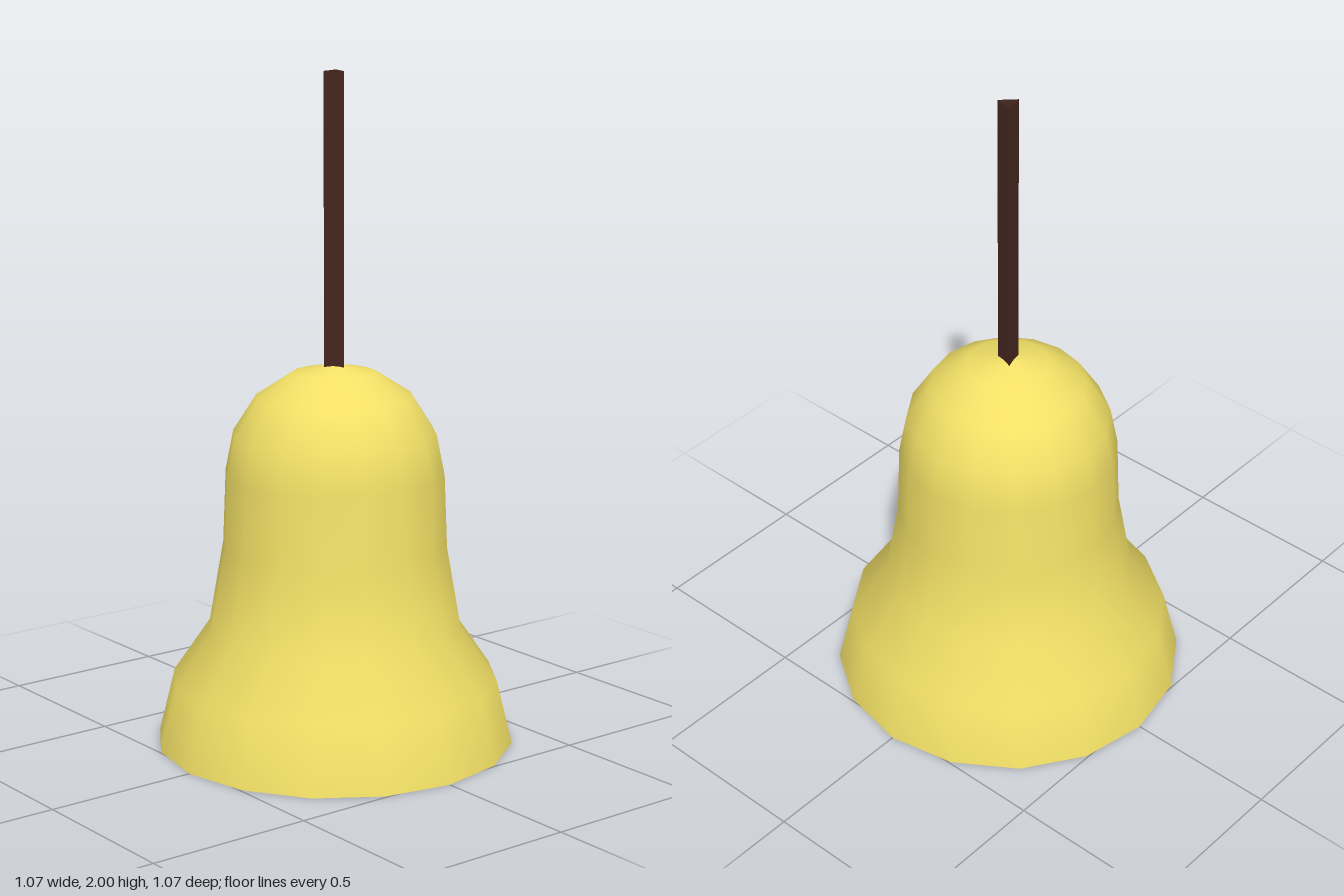
import * as THREE from 'three';

const SIDES = 16;

// Revolve a list of [radius, height] pairs around the y axis
function revolve(name, profile, material) {
  const points = profile.map(([r, y]) => new THREE.Vector2(r, y));
  const mesh = new THREE.Mesh(new THREE.LatheGeometry(points, SIDES), material);
  mesh.name = name;
  return mesh;
}

export function createModel() {
  const model = new THREE.Group();
  model.name = 'bellShade';

  const yellow = new THREE.MeshStandardMaterial({ color: 0xf2e066 });
  const brown = new THREE.MeshStandardMaterial({
    color: 0x45261f, flatShading: true, side: THREE.DoubleSide,
  });

  // Bell wall: outer skin from rim to crown, inner skin offset by the wall thickness
  const outer = [
    [0.535, 0], [0.487, 0.195], [0.378, 0.355], [0.335, 0.6], [0.326, 0.82],
    [0.302, 0.94], [0.232, 1.05], [0.125, 1.12], [0, 1.145],
  ];
  const inner = [
    [0.503, 0], [0.457, 0.185], [0.348, 0.345], [0.304, 0.6], [0.295, 0.81],
    [0.274, 0.92], [0.21, 1.025], [0.115, 1.09], [0, 1.113],
  ];
  const bell = new THREE.Group();
  bell.name = 'bell';
  bell.add(revolve('bellOuter', outer, yellow));
  bell.add(revolve('bellInner', [...inner].reverse(), yellow));
  bell.add(revolve('bellRim', [inner[0], outer[0]], yellow));
  model.add(bell);

  // Three-sided open rod, one flat side turned to the front corner
  const bottom = 1.13, top = 2;
  const rod = new THREE.Mesh(
    new THREE.CylinderGeometry(0.034, 0.034, top - bottom, 3, 1, true, -Math.PI / 12),
    brown,
  );
  rod.position.y = (top + bottom) / 2;
  rod.name = 'rod';
  model.add(rod);

  return model;
}
